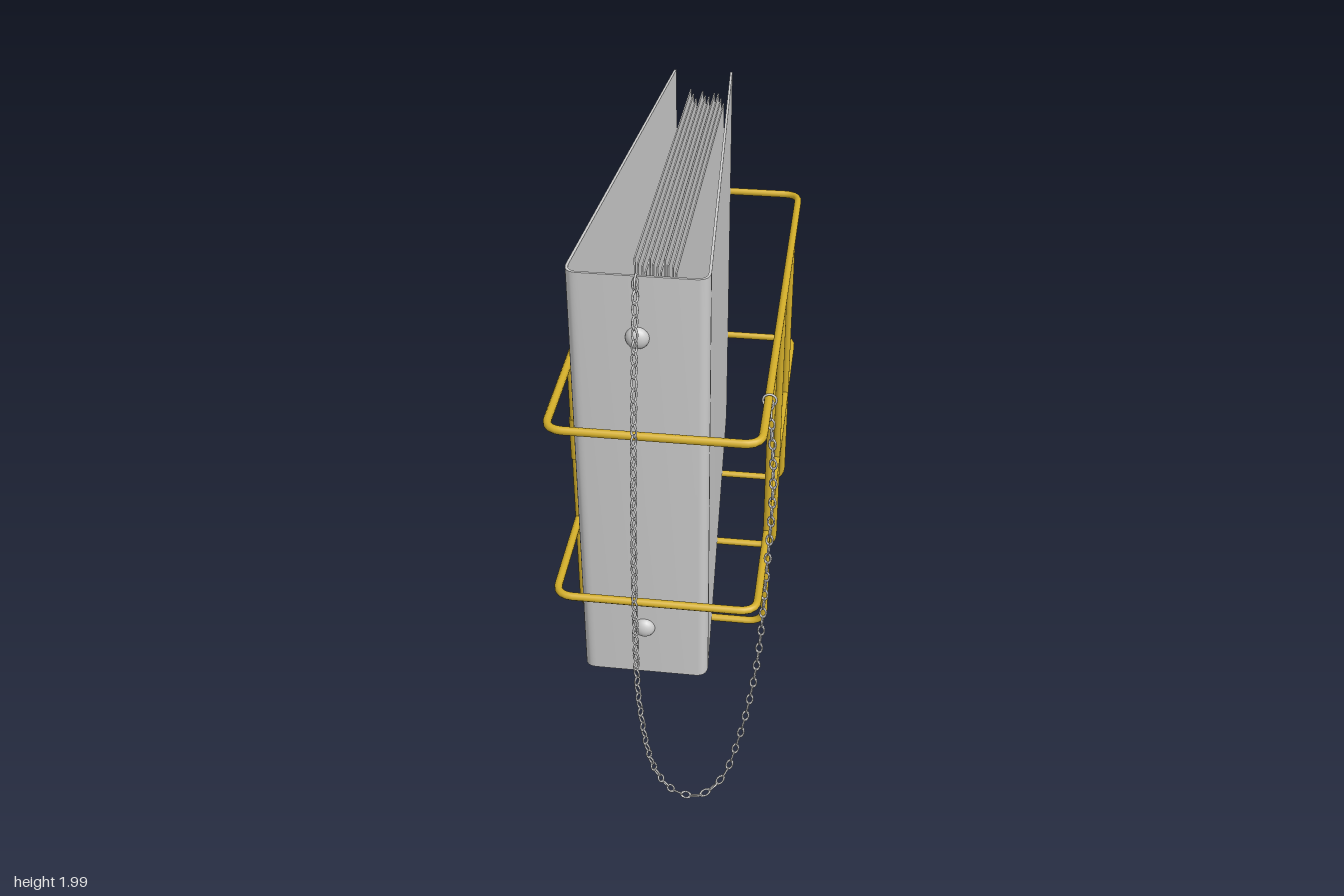
import * as THREE from 'three';
import { mergeGeometries, toCreasedNormals } from 'three/addons/utils/BufferGeometryUtils.js';

const V = (x, y, z) => new THREE.Vector3(x, y, z);
const grey = new THREE.MeshStandardMaterial({ color: 0xcccccc, side: THREE.DoubleSide });
const gold = new THREE.MeshStandardMaterial({ color: 0xd4af2a, side: THREE.DoubleSide });

const LEFT = 0.295, RIGHT = -0.32, WIRE = 0.0125;
const BOTTOM = 0.55, TOP = 1.99, MID = -0.06;
const HOOPS = [-0.43, -0.02, 0.39];

function add(parent, name, geometry, material, x = 0, y = 0, z = 0) {
  const mesh = new THREE.Mesh(geometry, material);
  mesh.name = name;
  mesh.position.set(x, y, z);
  parent.add(mesh);
  return mesh;
}

// Path through corner points, every inner corner rounded with radius r
function roundedPath(points, r) {
  const path = new THREE.CurvePath();
  let from = points[0];
  for (let i = 1; i < points.length - 1; i++) {
    const p = points[i];
    const a = p.clone().add(points[i - 1].clone().sub(p).setLength(r));
    const b = p.clone().add(points[i + 1].clone().sub(p).setLength(r));
    path.add(new THREE.LineCurve3(from, a));
    path.add(new THREE.QuadraticBezierCurve3(a, p, b));
    from = b;
  }
  path.add(new THREE.LineCurve3(from, points[points.length - 1]));
  return path;
}

function createRack() {
  const rack = new THREE.Group();
  rack.name = 'wireRack';
  const back = -0.82, front = 0.78;
  // Two horizontal rails
  for (const y of [0.91, 1.525]) {
    const path = roundedPath([V(LEFT, y, 0), V(LEFT, y, front), V(RIGHT, y, front),
      V(RIGHT, y, back), V(LEFT, y, back), V(LEFT, y, 0)], 0.055);
    add(rack, 'rail', new THREE.TubeGeometry(path, 240, WIRE, 10), gold);
  }
  // Three hoops carrying the binder
  for (const z of HOOPS) {
    const path = roundedPath([V(LEFT, 1.525, z), V(LEFT, 0.52, z),
      V(RIGHT, 0.52, z), V(RIGHT, 1.525, z)], 0.055);
    add(rack, 'hoop', new THREE.TubeGeometry(path, 160, WIRE, 10), gold);
    // Sleeve of the mounting plate around the hoop
    add(rack, 'plateSleeve', new THREE.CylinderGeometry(0.016, 0.016, 0.15, 12), gold, RIGHT, 1.225, z);
  }
  // Mounting plate with two screw holes
  const plate = new THREE.Shape();
  plate.moveTo(-0.45, -0.075).lineTo(0.41, -0.075).lineTo(0.41, 0.075).lineTo(-0.45, 0.075).closePath();
  for (const z of [-0.225, 0.185])
    plate.holes.push(new THREE.Path().absarc(z, 0, 0.018, 0, Math.PI * 2, true));
  const plateGeo = new THREE.ExtrudeGeometry(plate, { depth: 0.008, bevelEnabled: false });
  plateGeo.rotateY(-Math.PI / 2);
  add(rack, 'mountingPlate', plateGeo, gold, RIGHT + 0.012, 1.225, 0);
  return rack;
}

// U-shaped outline of the cover, seen from above
function coverShape() {
  const s = new THREE.Shape(), t = 0.008;
  s.moveTo(-0.16, 0.795);
  s.lineTo(-0.258, -0.66);
  s.quadraticCurveTo(-0.26, -0.705, -0.22, -0.705);
  s.lineTo(0.10, -0.705);
  s.quadraticCurveTo(0.14, -0.705, 0.138, -0.66);
  s.lineTo(0.045, 0.795);
  s.lineTo(0.045 - t, 0.795);
  s.lineTo(0.138 - t, -0.66);
  s.quadraticCurveTo(0.14 - t, -0.705 + t, 0.10, -0.705 + t);
  s.lineTo(-0.22, -0.705 + t);
  s.quadraticCurveTo(-0.26 + t, -0.705 + t, -0.258 + t, -0.66);
  s.lineTo(-0.16 + t, 0.795);
  s.closePath();
  return s;
}

function createBinder() {
  const binder = new THREE.Group();
  binder.name = 'binder';
  let cover = new THREE.ExtrudeGeometry(coverShape(),
    { depth: TOP - BOTTOM, bevelEnabled: false, curveSegments: 8 });
  cover.rotateX(-Math.PI / 2);
  cover = toCreasedNormals(cover, 0.6);
  add(binder, 'cover', cover, grey, 0, BOTTOM, 0);

  // Sheets and dividers, slightly uneven
  for (let i = 0; i < 12; i++) {
    const x = -0.1 + i * 0.0108;
    const z0 = -0.785 + 0.012 * (i % 3), z1 = 0.485 + 0.01 * (i % 2);
    const height = 1.33 - 0.012 * ((i * 5) % 4);
    add(binder, 'sheet', new THREE.BoxGeometry(0.0045, height, z1 - z0), grey,
      x, 0.595 + height / 2, (z0 + z1) / 2);
  }
  add(binder, 'dividerTab', new THREE.BoxGeometry(0.004, 0.32, 0.03), grey, -0.0352, 1.26, -0.785);

  // Ring mechanism on the inside of the spine
  add(binder, 'ringBar', new THREE.BoxGeometry(0.08, 1.3, 0.022), grey, MID, 1.27, 0.685);
  for (const y of [0.615, 1.925])
    add(binder, 'barEnd', new THREE.BoxGeometry(0.08, 0.01, 0.022), gold, MID, y, 0.685);
  for (const y of [0.85, 1.27, 1.69])
    add(binder, 'ring', new THREE.TorusGeometry(0.12, 0.006, 8, 40).rotateX(Math.PI / 2), grey, MID, y, 0.57);

  // Domed rivets on the spine
  for (const y of [0.74, 1.8]) {
    const dome = new THREE.SphereGeometry(0.034, 20, 8, 0, Math.PI * 2, 0, Math.PI / 2);
    add(binder, 'rivet', dome.rotateX(Math.PI / 2).scale(1, 1, 0.75), grey, MID, y, 0.704);
  }
  return binder;
}

function createChain() {
  const chain = new THREE.Group();
  chain.name = 'chain';
  const curve = new THREE.CatmullRomCurve3([
    V(-0.06, 1.97, 0.715), V(-0.06, 1.75, 0.765), V(-0.06, 1.52, 0.81), V(-0.068, 0.9, 0.822),
    V(-0.062, 0.5, 0.815), V(-0.02, 0.18, 0.785), V(0.045, 0.05, 0.755), V(0.12, 0.015, 0.73),
    V(0.19, 0.07, 0.698), V(0.24, 0.22, 0.665), V(0.29, 0.52, 0.62), V(0.31, 0.9, 0.58),
    V(0.318, 1.25, 0.56), V(0.3, 1.51, 0.55)]);
  const count = Math.round(curve.getLength() / 0.035);
  const frames = curve.computeFrenetFrames(count);
  const link = new THREE.TorusGeometry(0.01, 0.0032, 6, 14).scale(1, 1.75, 1);
  const links = [];
  // Every other link is turned a quarter
  for (let i = 0; i <= count; i++) {
    const m = new THREE.Matrix4().makeBasis(frames.normals[i], frames.tangents[i],
      frames.binormals[i].clone().negate());
    m.multiply(new THREE.Matrix4().makeRotationY(0.6 + i * Math.PI / 2));
    m.setPosition(curve.getPointAt(i / count));
    links.push(link.clone().applyMatrix4(m));
  }
  add(chain, 'links', mergeGeometries(links), grey);
  // End rings through the spine and around the rail
  const eye = new THREE.TorusGeometry(0.02, 0.0035, 8, 24);
  add(chain, 'spineRing', eye, grey, MID, 1.975, 0.708).rotation.y = Math.PI / 2;
  add(chain, 'railRing', eye, grey, 0.298, 1.523, 0.55);
  return chain;
}

export function createModel() {
  const model = new THREE.Group();
  model.name = 'binderInWireRack';
  model.add(createRack(), createBinder(), createChain());
  return model;
}
